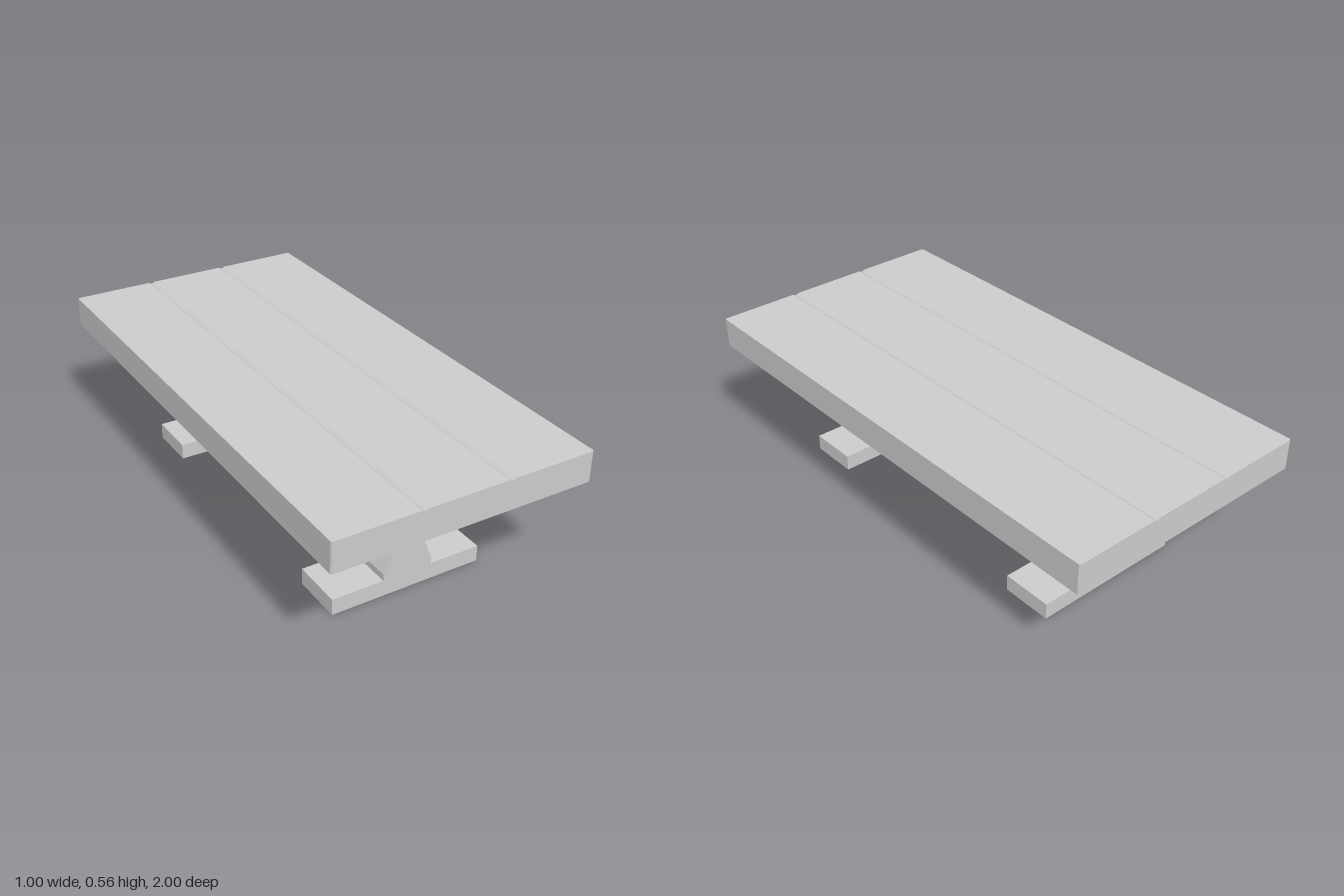
import * as THREE from 'three';

const material = new THREE.MeshStandardMaterial({ color: 0xcccccc, flatShading: true });

// Extrudes a front-facing outline along z, centred on z = 0
function extrude(points, depth, steps = 1) {
  const shape = new THREE.Shape(points.map(([x, y]) => new THREE.Vector2(x, y)));
  const geometry = new THREE.ExtrudeGeometry(shape, { depth, steps, bevelEnabled: false });
  return geometry.translate(0, 0, -depth / 2);
}

// Slab with two shallow V grooves along its length and clipped vertical corners
function tabletopGeometry() {
  const bottom = 0.44, top = 0.557;
  const outline = [[-0.5, bottom], [0.5, bottom], [0.5, top]];
  for (const x of [0.165, -0.168]) {
    outline.push([x + 0.014, top], [x, top - 0.006], [x - 0.014, top]);
  }
  outline.push([-0.5, top]);

  const geometry = extrude(outline, 2, 3);
  const position = geometry.attributes.position;
  for (let i = 0; i < position.count; i++) {
    const x = position.getX(i), z = position.getZ(i);
    if (Math.abs(z) > 0.9) position.setX(i, THREE.MathUtils.clamp(x, -0.494, 0.494));
    else position.setZ(i, Math.sign(z) * 0.995);
  }
  geometry.computeVertexNormals();
  return geometry;
}

// Flat foot rising to a narrow waist and flaring out under the top
const legOutline = [
  [-0.305, 0], [0.303, 0], [0.303, 0.064], [0.1, 0.064], [0.1, 0.09],
  [0.023, 0.277], [0.085, 0.44], [-0.083, 0.44], [-0.003, 0.277],
  [-0.1, 0.09], [-0.1, 0.064], [-0.305, 0.064],
];

export function createModel() {
  const table = new THREE.Group();
  table.name = 'table';

  const tabletop = new THREE.Mesh(tabletopGeometry(), material);
  tabletop.name = 'tabletop';
  table.add(tabletop);

  // Pedestal legs near each end
  const legGeometry = extrude(legOutline, 0.2);
  for (const [name, z] of [['frontLeg', 0.598], ['backLeg', -0.57]]) {
    const leg = new THREE.Mesh(legGeometry, material);
    leg.name = name;
    leg.position.z = z;
    table.add(leg);
  }
  return table;
}
